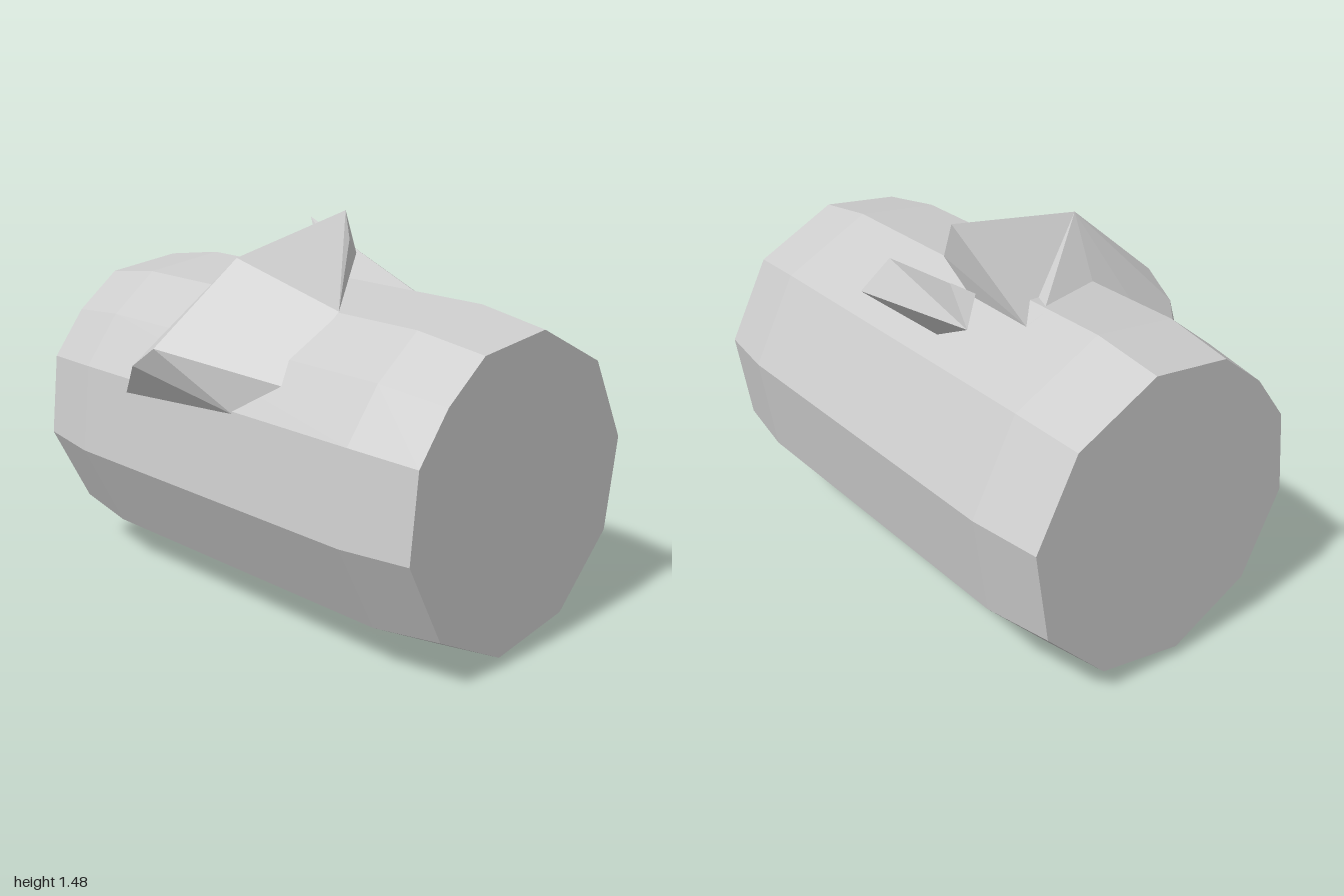
import * as THREE from 'three';

const grey = new THREE.MeshStandardMaterial({ color: 0xcccccc, flatShading: true, side: THREE.DoubleSide });
grey.name = 'stone grey';

// Flat-faced mesh from triangles of [x, y, z] corners
function facetMesh(name, triangles) {
  const geometry = new THREE.BufferGeometry();
  geometry.setAttribute('position', new THREE.Float32BufferAttribute(triangles.flat(2), 3));
  geometry.computeVertexNormals();
  const mesh = new THREE.Mesh(geometry, grey);
  mesh.name = name;
  return mesh;
}

// Splits a convex outline into a fan of triangles
const fan = (...p) => p.slice(2).map((c, i) => [p[0], p[i + 1], c]);

// Ten-sided log with one extra corner, narrowed at both ends
function buildLog() {
  const cx = 0.045, cy = 0.622;
  const section = [
    [0.14, 1.245], [0.488, 1.065], [0.665, 0.722], [0.605, 0.34], [0.33, 0.065], [-0.05, 0],
    [-0.397, 0.18], [-0.573, 0.525], [-0.535, 0.87], [-0.39, 1.06], [-0.2, 1.208],
  ];
  const rings = [[-1, 0.932], [-0.72, 1], [0.72, 1], [1, 0.932]].map(([z, s]) =>
    section.map(([x, y]) => [cx + (x - cx) * s, cy + (y - cy) * s, z]));
  const triangles = [];
  section.forEach((_, i) => {
    const j = (i + 1) % section.length;
    for (let k = 0; k < 3; k++) {
      triangles.push(...fan(rings[k + 1][i], rings[k + 1][j], rings[k][j], rings[k][i]));
    }
    triangles.push([[cx, cy, 1], rings[3][j], rings[3][i]], [[cx, cy, -1], rings[0][i], rings[0][j]]);
  });
  return facetMesh('log', triangles);
}

// Ridged slab wrapped over the upper left of the log
function buildSlab() {
  const ridgeL = [-0.67, 1.075, -0.115], ridgeM = [-0.335, 1.37, -0.04], ridgeR = [0.275, 1.475, -0.085];
  const frontL = [-0.45, 0.98, 0.32], frontR = [-0.2, 1.212, 0.35];
  const lip = [0.17, 1.39, 0.04], lipEnd = [0.25, 1.32, 0];
  const foot = [0.22, 1.19, -0.13], sideFoot = [-0.535, 0.86, 0.15];
  const backL = [-0.665, 0.985, -0.25], corner = [-0.55, 0.82, -0.45];
  const back = [
    [0.16, 1.235, -0.46], [-0.2, 1.208, -0.305], [-0.385, 1.06, -0.355], [-0.51, 0.9, -0.45],
  ];
  const backR = [0.228, 1.2, -0.45];
  return facetMesh('slab', [
    // front slopes
    ...fan(ridgeL, frontL, frontR, ridgeM),
    [ridgeM, frontR, ridgeR], [frontR, lip, ridgeR],
    [frontR, lipEnd, lip], [lip, lipEnd, ridgeR],
    // overhang and right end
    [frontR, foot, lipEnd], [lipEnd, foot, backR], [lipEnd, backR, ridgeR],
    // back slope
    ...fan(ridgeM, ridgeR, backR, ...back, backL, ridgeL),
    [back[3], corner, backL],
    // left end
    [ridgeL, sideFoot, frontL], [ridgeL, backL, sideFoot], [backL, corner, sideFoot],
  ]);
}

// Long thorn leaning back and out from the upper right
function buildThorn() {
  const tip = [0.6, 1.357, -0.615];
  const base = [
    [0.245, 1.192, 0.37], [0.405, 1.11, 0.33], [0.39, 1.1, -0.14], [0.265, 1.25, -0.21], [0.212, 1.2, 0.02],
  ];
  return facetMesh('thorn', base.map((p, i) => [p, base[(i + 1) % base.length], tip]));
}

export function createModel() {
  const model = new THREE.Group();
  model.name = 'log with thorn';
  model.add(buildLog(), buildSlab(), buildThorn());
  return model;
}
